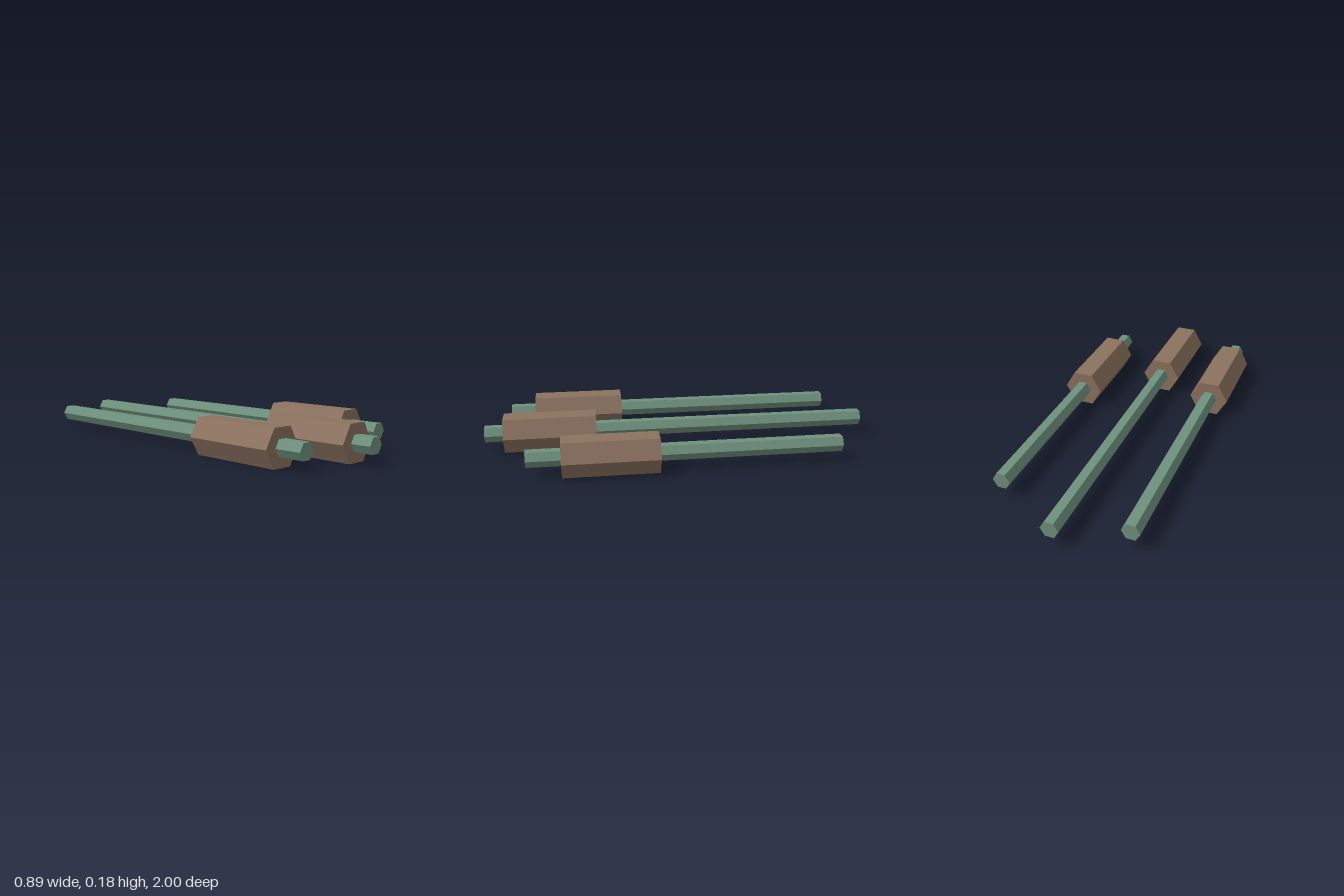
import * as THREE from 'three';

const CENTRE_Y = 0.09;

// Hexagonal prism along z, with corners pointing to +x and -x
function hexPrism(name, radius, z0, z1, material) {
  const geometry = new THREE.CylinderGeometry(radius, radius, z1 - z0, 6, 1, false, Math.PI / 6);
  geometry.rotateX(Math.PI / 2);
  const mesh = new THREE.Mesh(geometry, material);
  mesh.name = name;
  mesh.position.z = (z0 + z1) / 2;
  return mesh;
}

export function createModel() {
  const brown = new THREE.MeshStandardMaterial({ color: 0x8c7260, flatShading: true });
  brown.name = 'brown';
  const green = new THREE.MeshStandardMaterial({ color: 0x6f917e, flatShading: true });
  green.name = 'greyGreen';

  const model = new THREE.Group();
  model.name = 'reeds';

  // Each reed: x position, stem back and front, head back and front
  const reeds = [
    { name: 'rightReed', x: -0.342, stem: [-0.89, 0.885], head: [0.28, 0.752] },
    { name: 'middleReed', x: -0.016, stem: [-1, 1], head: [0.43, 0.902] },
    { name: 'leftReed', x: 0.341, stem: [-0.778, 0.776], head: [0.135, 0.607] },
  ];
  for (const { name, x, stem, head } of reeds) {
    const reed = new THREE.Group();
    reed.name = name;
    reed.position.set(x, CENTRE_Y, 0);
    reed.add(hexPrism('stem', 0.044, ...stem, green));
    reed.add(hexPrism('head', 0.103, ...head, brown));
    model.add(reed);
  }
  return model;
}
